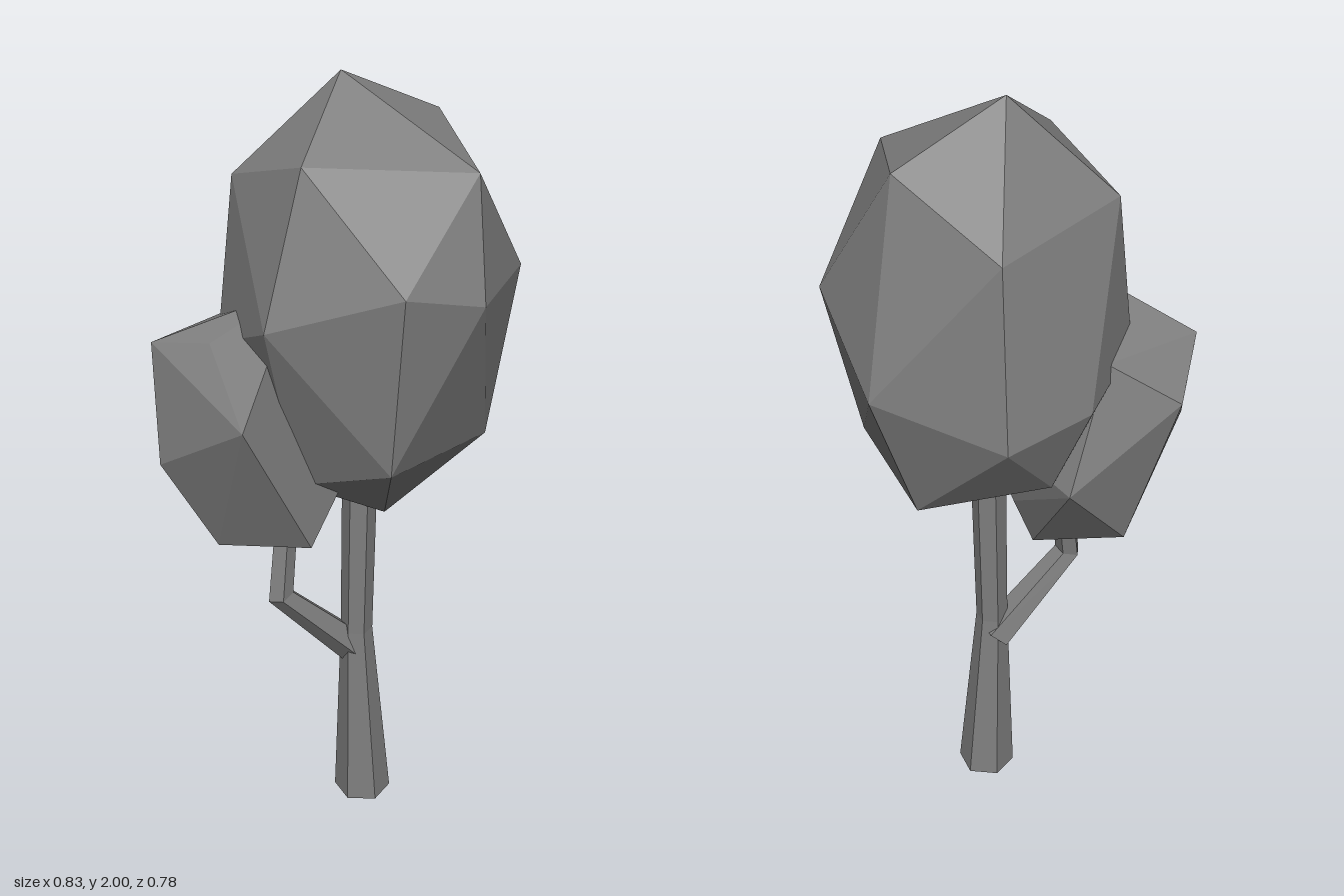
import * as THREE from 'three';
import { ConvexGeometry } from 'three/addons/geometries/ConvexGeometry.js';

const material = new THREE.MeshStandardMaterial({ color: 0x7e7e7e, flatShading: true });
const vec = (p) => new THREE.Vector3(...p);

// Faceted limb: a cylinder whose rings follow [centre, radius, ring normal] stations.
function limb(name, sides, stations) {
  const n = stations.length - 1;
  const geometry = new THREE.CylinderGeometry(1, 1, n, sides, n);
  geometry.rotateY(0.7);
  const pos = geometry.attributes.position;
  const up = new THREE.Vector3(0, 1, 0);
  const v = new THREE.Vector3();
  for (let i = 0; i < pos.count; i++) {
    const [centre, radius, normal] = stations[Math.round(pos.getY(i) + n / 2)];
    const tilt = new THREE.Quaternion().setFromUnitVectors(up, vec(normal).normalize());
    v.set(pos.getX(i) * radius, 0, pos.getZ(i) * radius).applyQuaternion(tilt).add(vec(centre));
    pos.setXYZ(i, v.x, v.y, v.z);
  }
  geometry.computeVertexNormals();
  const mesh = new THREE.Mesh(geometry, material);
  mesh.name = name;
  return mesh;
}

// Faceted leaf mass wrapped around a few corner points.
function foliage(name, corners) {
  const mesh = new THREE.Mesh(new ConvexGeometry(corners.map(vec)), material);
  mesh.name = name;
  return mesh;
}

export function createModel() {
  const tree = new THREE.Group();
  tree.name = 'tree';

  // Trunk: flared foot, narrow waist, slightly leaning top
  tree.add(limb('trunk', 6, [
    [[0.035, 0, 0.022], 0.077, [0, 1, 0]],
    [[0.019, 0.54, 0.013], 0.042, [0, 1, 0]],
    [[0.027, 1.05, 0.016], 0.045, [0, 1, 0]],
  ]));

  // Side branch with one elbow
  tree.add(limb('branch', 5, [
    [[0.02, 0.475, 0.0], 0.048, [-0.7, 0.75, -0.2]],
    [[-0.182, 0.7, -0.07], 0.035, [-0.25, 0.95, -0.1]],
    [[-0.135, 0.95, -0.085], 0.03, [0.2, 1, 0]],
  ]));

  // Main crown, from the tip down to the base
  tree.add(foliage('mainCrown', [
    [0.02, 2, -0.04],
    [0.285, 1.88, 0.03], [-0.22, 1.85, 0.065], [0.085, 1.82, 0.31],
    [-0.165, 1.77, -0.21], [0.22, 1.74, -0.24],
    [0.02, 1.55, 0.39], [-0.17, 1.6, 0.32], [0.32, 1.54, 0.265],
    [-0.335, 1.5, 0.055], [0.412, 1.39, -0.015],
    [-0.22, 1.37, -0.22], [0.05, 1.36, -0.35], [0.24, 1.3, -0.28],
    [-0.15, 1.15, 0.27], [0.23, 1.12, 0.25], [0.29, 1.04, -0.02],
    [-0.2, 1.06, 0.02], [0.07, 1.12, -0.25], [0.055, 0.9, 0.075],
  ]));

  // Smaller crown carried by the branch
  tree.add(foliage('sideCrown', [
    [-0.18, 1.55, 0], [-0.07, 1.41, -0.28],
    [-0.32, 1.42, -0.14], [-0.36, 1.39, -0.3],
    [-0.405, 1.28, 0.05], [-0.215, 1.29, -0.39],
    [-0.415, 1.11, -0.23], [0.06, 1.11, -0.3], [0.03, 1.15, 0.05],
    [-0.33, 0.89, -0.13], [-0.14, 0.89, -0.3],
    [-0.23, 0.925, 0.09], [-0.03, 0.82, -0.09], [0.02, 0.96, -0.07],
  ]));

  return tree;
}
